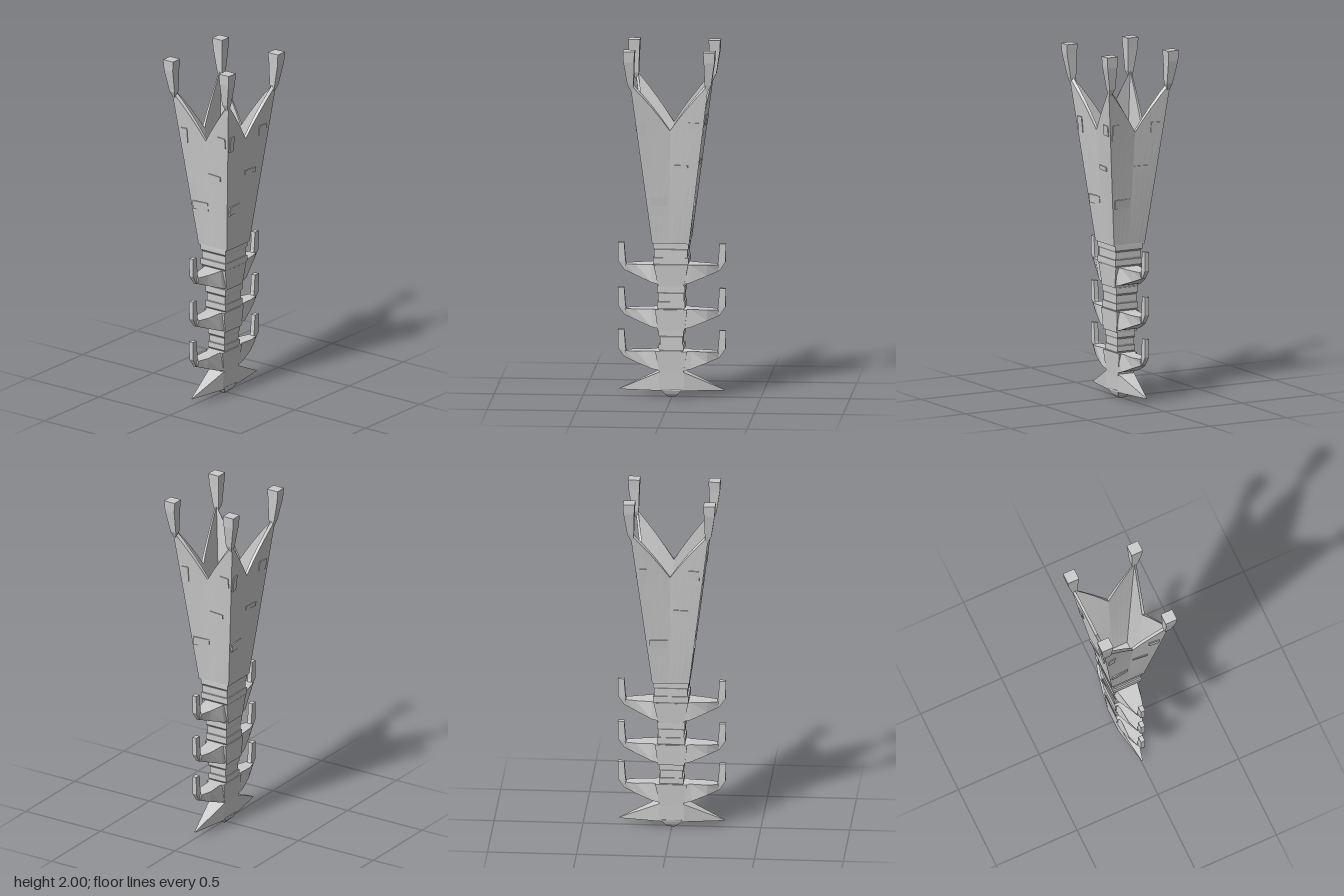
import * as THREE from 'three';

const material = new THREE.MeshStandardMaterial({ color: 0xcccccc, flatShading: true, side: THREE.DoubleSide });

function mesh(name, geometry) {
  const m = new THREE.Mesh(geometry, material);
  m.name = name;
  return m;
}

function toGeometry(points, index) {
  const g = new THREE.BufferGeometry();
  g.setAttribute('position', new THREE.Float32BufferAttribute(points.flat(), 3));
  g.setIndex(index);
  g.computeVertexNormals();
  return g;
}

// Joins four-cornered rings into a closed solid.
function loft(rings) {
  const index = [], last = (rings.length - 1) * 4;
  for (let r = 0; r < last; r += 4) {
    for (let j = 0; j < 4; j++) {
      const k = (j + 1) % 4;
      index.push(r + j, r + k, r + 4 + k, r + j, r + 4 + k, r + 4 + j);
    }
  }
  index.push(0, 2, 1, 0, 3, 2, last, last + 1, last + 2, last, last + 2, last + 3);
  return toGeometry(rings.flat(), index);
}

// Horizontal ring at height y, and upright ring at distance x.
const ringY = (y, hx, hz, cx = 0, cz = 0) =>
  [[cx - hx, y, cz + hz], [cx + hx, y, cz + hz], [cx + hx, y, cz - hz], [cx - hx, y, cz - hz]];
const ringX = (x, y0, y1, hzLow, hzHigh = hzLow) =>
  [[x, y0, -hzLow], [x, y1, -hzHigh], [x, y1, hzHigh], [x, y0, hzLow]];

// Crown wall: flaring half sizes, with each side creased inwards along its middle.
const BASE = 0.89, TIP = 1.81, NOTCH = 1.54;
function wallPoint(side, t, y, inset) {
  const f = (y - BASE) / (TIP - BASE);
  const hx = 0.105 + 0.115 * f - inset, hz = 0.1 + 0.1 * f - inset;
  const [w, d] = side % 2 ? [hz, hx] : [hx, hz];
  const l = t * w, depth = d - 0.025 * f * (1 - Math.abs(t));
  return [[l, y, depth], [depth, y, -l], [-l, y, -depth], [-depth, y, l]][side];
}

function crownGeometry() {
  const points = [], index = [], steps = 8, rows = 5, columns = 4 * steps, n = rows * 2;
  for (let c = 0; c < columns; c++) {
    const side = Math.floor(c / steps), t = -1 + 2 * (c % steps) / steps;
    const top = NOTCH + (TIP - NOTCH) * Math.abs(t);
    for (let r = 0; r < n; r++) {
      const inner = r >= rows, v = (inner ? n - 1 - r : r) / (rows - 1);
      points.push(wallPoint(side, t, BASE + (top - BASE) * v, inner ? 0.016 : 0));
    }
  }
  for (let c = 0; c < columns; c++) {
    const a = c * n, b = ((c + 1) % columns) * n;
    for (let r = 0; r < n - 1; r++) {
      index.push(a + r, b + r, b + r + 1, a + r, b + r + 1, a + r + 1);
    }
  }
  return toGeometry(points, index);
}

export function createModel() {
  const model = new THREE.Group();
  model.name = 'tower';

  // Bottom nub and the pointed fin across it
  model.add(mesh('nub', loft([ringY(0, 0.018, 0.015), ringY(0.02, 0.04, 0.036), ringY(0.05, 0.06, 0.048)])));
  model.add(mesh('fin', loft([
    ringX(-0.295, 0.038, 0.043, 0.003), ringX(-0.07, 0.04, 0.145, 0.046, 0.05),
    ringX(0.07, 0.04, 0.145, 0.046, 0.05), ringX(0.295, 0.038, 0.043, 0.003),
  ])));

  // Flared trunk blocks that carry the arms
  const blocks = [
    [0.13, 0.265, 0.065, 0.09, 0.05, 0.058],
    [0.385, 0.505, 0.075, 0.09, 0.066, 0.07],
    [0.64, 0.76, 0.072, 0.097, 0.076, 0.083],
  ];
  for (const [y0, y1, x0, x1, z0, z1] of blocks) {
    model.add(mesh('trunkBlock', loft([ringY(y0, x0, z0), ringY(y1, x1, z1)])));
  }

  // Ribbed necks between the blocks
  const necks = [[0.265, 0.385, 0.07, 0.058], [0.505, 0.64, 0.079, 0.07], [0.76, 0.89, 0.1, 0.088]];
  for (const [y0, y1, hx, hz] of necks) {
    const h = (y1 - y0) / 3;
    for (let i = 0; i < 3; i++) {
      const y = y0 + h * i, s = i === 1 ? 0.006 : 0;
      model.add(mesh('neckRib', loft([
        ringY(y, hx - 0.008, hz - 0.006), ringY(y + 0.01, hx - s, hz - s), ringY(y + h, hx - s, hz - s),
      ])));
    }
  }

  // Three tiers of paired arms with upright fingers
  [0.265, 0.505, 0.76].forEach((top, i) => {
    for (const turn of [0, Math.PI]) {
      const arm = new THREE.Group();
      arm.name = 'arm';
      arm.rotation.y = turn;
      const hz = 0.052 + 0.01 * i;
      arm.add(mesh('armBracket', loft([
        ringX(0.06, top - 0.112, top, hz, hz), ringX(0.11, top - 0.1, top, hz, hz - 0.012),
        ringX(0.2, top - 0.066, top - 0.003, 0.036, 0.042), ringX(0.262, top - 0.042, top - 0.004, 0.014, 0.024),
      ])));
      arm.add(mesh('armFinger', loft([
        ringY(top - 0.042, 0.012, 0.01, 0.254), ringY(top + 0.01, 0.021, 0.013, 0.281),
        ringY(top + 0.115, 0.018, 0.013, 0.286),
      ])));
      model.add(arm);
    }
  });

  // Crown with four pointed corners, and its floor
  model.add(mesh('crownWalls', crownGeometry()));
  model.add(mesh('crownFloor', loft([ringY(0.885, 0.103, 0.098), ringY(0.92, 0.1, 0.095)])));

  // Corner posts on the crown tips
  for (const sx of [-1, 1]) {
    for (const sz of [-1, 1]) {
      model.add(mesh('cornerPost', loft([
        ringY(1.77, 0.006, 0.006, sx * 0.21, sz * 0.188), ringY(1.81, 0.018, 0.018, sx * 0.218, sz * 0.186),
        ringY(1.94, 0.03, 0.031, sx * 0.226, sz * 0.197), ringY(2, 0.033, 0.035, sx * 0.226, sz * 0.197),
      ])));
    }
  }

  // Thin raised panels on each crown wall: position across, height, width, panel height
  const panels = [[-0.5, 1.13, 0.1, 0.05], [0.35, 1.33, 0.09, 0.025], [0.72, 1.56, 0.06, 0.06], [-0.8, 1.55, 0.04, 0.09]];
  for (let side = 0; side < 4; side++) {
    for (const [t, y, w, h] of panels) {
      const holder = new THREE.Group();
      holder.name = 'wallPanel';
      holder.position.set(...wallPoint(side, t, y, 0));
      holder.rotation.y = side * Math.PI / 2;
      const plate = mesh('panelPlate', new THREE.BoxGeometry(w, h, 0.01));
      plate.rotation.set(0.11, -Math.sign(t) * 0.1, 0);
      holder.add(plate);
      model.add(holder);
    }
  }
  return model;
}
